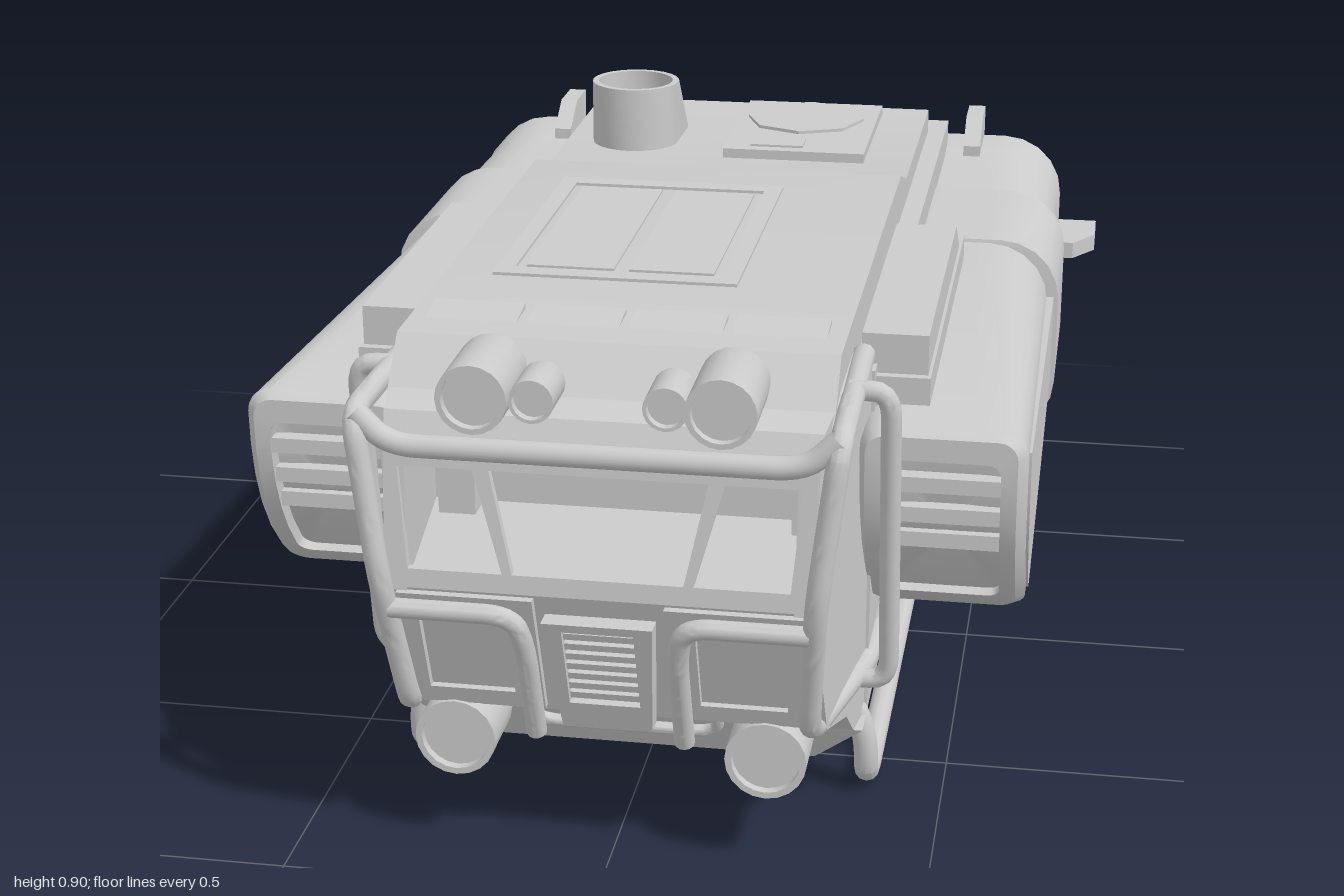
import * as THREE from 'three';
import { toCreasedNormals } from 'three/addons/utils/BufferGeometryUtils.js';

const material = new THREE.MeshStandardMaterial({ color: 0xcccccc, side: THREE.DoubleSide });
const V = (p) => new THREE.Vector3(...p);

// Move every vertex by a rule
function warp(geo, rule) {
  const pos = geo.attributes.position, v = new THREE.Vector3();
  for (let i = 0; i < pos.count; i++) {
    rule(v.fromBufferAttribute(pos, i));
    pos.setXYZ(i, v.x, v.y, v.z);
  }
  return geo;
}

// Mirror a non-indexed geometry in x, keeping its faces outward
function mirrorX(geo) {
  const out = geo.clone();
  for (const key of ['position', 'normal']) {
    const a = out.attributes[key], s = geo.attributes[key];
    for (let i = 0; i < a.count; i += 3) for (const [to, from] of [[0, 0], [1, 2], [2, 1]]) {
      a.setXYZ(i + to, -s.getX(i + from), s.getY(i + from), s.getZ(i + from));
    }
  }
  return out;
}

const box = (x0, x1, y0, y1, z0, z1) =>
  new THREE.BoxGeometry(x1 - x0, y1 - y0, z1 - z0).translate((x0 + x1) / 2, (y0 + y1) / 2, (z0 + z1) / 2);

const shapeOf = (pts, holes = []) => {
  const s = new THREE.Shape(pts.map((p) => new THREE.Vector2(...p)));
  s.holes = holes.map((h) => new THREE.Path(h.map((p) => new THREE.Vector2(...p))));
  return s;
};
const rect = (x0, x1, y0, y1) => [[x0, y0], [x1, y0], [x1, y1], [x0, y1]];
const plate = (shape, depth) => new THREE.ExtrudeGeometry(shape, { depth, bevelEnabled: false });

// Side profile of [z, y] points drawn out from x0 to x1
const profile = (pts, x0, x1) => plate(shapeOf(pts), x1 - x0).rotateY(-Math.PI / 2).translate(x1, 0, 0);

// Flat outline of [x, z] points drawn up from y0 to y1
const slab = (pts, y0, y1, holes = []) =>
  plate(shapeOf(pts, holes), y1 - y0).rotateX(Math.PI / 2).translate(0, y1, 0);

// Pipe through points with rounded corners
function pipe(points, r, bend = 0.045) {
  const pts = points.map(V), path = new THREE.CurvePath();
  let from = pts[0];
  for (let i = 1; i < pts.length - 1; i++) {
    const toward = (q) => pts[i].clone().add(q.clone().sub(pts[i]).setLength(Math.min(bend, q.distanceTo(pts[i]) * 0.45)));
    const a = toward(pts[i - 1]), b = toward(pts[i + 1]);
    path.add(new THREE.LineCurve3(from, a));
    path.add(new THREE.QuadraticBezierCurve3(a, pts[i], b));
    from = b;
  }
  path.add(new THREE.LineCurve3(from, pts[pts.length - 1]));
  return new THREE.TubeGeometry(path, points.length * 14, r, 12);
}

// Lamp housing turned to face +z
const lamp = (r, len, x, y, z) => new THREE.LatheGeometry(
  [[0, 0], [r * 0.75, 0], [r, len * 0.2], [r, len], [r * 0.84, len], [r * 0.84, len - 0.015], [0, len - 0.015]]
    .map((p) => new THREE.Vector2(...p)), 20).rotateX(Math.PI / 2).translate(x, y, z);

// Pod front edge sweeps back toward the bottom
const podSweep = (y) => -0.19 * Math.pow(Math.max(0, 0.65 - y) / 0.35, 2.5);

// Rounded-rectangle section rings [x0, x1, y0, y1, radius, z, sweep] joined into a skin
function loft(sections) {
  const pos = [], index = [], steps = 5, n = 4 * (2 * steps);
  for (const [x0, x1, y0, y1, r, z, sweep] of sections) {
    const corners = [[x1 - r, y1 - r], [x0 + r, y1 - r], [x0 + r, y0 + r], [x1 - r, y0 + r]];
    const put = (cx, cy, a) => {
      const y = cy + r * Math.sin(a);
      pos.push(cx + r * Math.cos(a), y, z + (sweep ? podSweep(y) : 0));
    };
    corners.forEach(([cx, cy], c) => {
      const [nx, ny] = corners[(c + 1) % 4], turn = Math.PI / 2;
      for (let i = 0; i < steps; i++) put(cx, cy, (c + i / steps) * turn);
      for (let i = 0; i < steps; i++) put(cx + (nx - cx) * i / steps, cy + (ny - cy) * i / steps, (c + 1) * turn);
    });
  }
  for (let k = 0; k < sections.length - 1; k++) for (let j = 0; j < n; j++) {
    const p = k * n + j, pn = k * n + (j + 1) % n;
    index.push(p, p + n, pn, pn, p + n, pn + n);
  }
  const geo = new THREE.BufferGeometry();
  geo.setAttribute('position', new THREE.Float32BufferAttribute(pos, 3));
  geo.setIndex(index);
  return geo;
}

// Cab nose: slope of the face, and narrowing toward the front
const faceZ = (y) => (y > 0.48 ? 0.955 - (y - 0.48) * 0.1 : 0.865 + (y - 0.24) * 0.375);
const onFace = (geo) => warp(geo, (v) => { v.z += faceZ(v.y); });
const narrow = (geo) => warp(geo, (v) => { v.x *= 1 - 0.12 * (v.z - 0.62) / 0.33; });

export function createModel() {
  const model = new THREE.Group();
  const add = (name, geo, mirrored = false) => {
    const g = toCreasedNormals(geo, 0.55);
    const sides = mirrored ? [[name + 'Left', g], [name + 'Right', mirrorX(g)]] : [[name, g]];
    for (const [label, part] of sides) {
      const mesh = new THREE.Mesh(part, material);
      mesh.name = label;
      model.add(mesh);
    }
  };

  // Hull, keel and roof
  add('body', profile([[0.62, 0.15], [0.62, 0.74], [-0.9, 0.74], [-0.9, 0.2], [-0.83, 0.2], [-0.83, 0.15]], -0.375, 0.375));
  add('keel', warp(box(-0.375, 0.375, 0.07, 0.15, -0.83, 0.69), (v) => {
    if (v.y < 0.1) { v.x *= 0.78; v.z += v.z > 0 ? -0.05 : 0.02; }
  }));
  add('bottomPlate', box(-0.25, 0.25, 0.06, 0.07, -0.78, 0.61));
  add('roof', profile([[0.87, 0.74], [0.79, 0.825], [-0.18, 0.825], [-0.3, 0.785], [-0.81, 0.785], [-0.81, 0.73]], -0.34, 0.34));
  add('roofShoulder', box(0.36, 0.46, 0.66, 0.725, -0.16, 0.6), true);
  add('roofLocker', profile([[0.585, 0.7], [0.585, 0.79], [0, 0.79], [-0.13, 0.7]], 0.35, 0.455), true);
  for (let i = 0; i < 4; i++) {
    const x = -0.315 + i * 0.16;
    add('roofFrontRidge' + i, profile([[0.655, 0.82], [0.655, 0.834], [0.73, 0.824]], x, x + 0.145));
  }

  // Roof hatch with two doors
  add('hatchFrame', slab(rect(-0.26, 0.14, -0.06, 0.5), 0.82, 0.83, [rect(-0.23, 0.11, -0.025, 0.465)]));
  for (const [x0, x1] of [[-0.215, -0.07], [-0.045, 0.095]]) add('hatchDoor', box(x0, x1, 0.82, 0.829, -0.01, 0.45));

  // Rear roof equipment
  add('ventBase', box(-0.02, 0.25, 0.78, 0.803, -0.76, -0.39));
  add('ventCover', new THREE.CylinderGeometry(0.115, 0.115, 0.008, 8).translate(0.11, 0.805, -0.63));
  add('ventBox', box(0.03, 0.13, 0.8, 0.807, -0.47, -0.415));
  const stack = new THREE.LatheGeometry([[0.084, 0], [0.084, 0.13], [0.072, 0.13], [0.072, 0.08], [0, 0.08]]
    .map((p) => new THREE.Vector2(...p)), 24);
  add('exhaustStack', warp(stack, (v) => { if (v.y < 0.01 && v.z < 0.01) v.z -= 0.115; }).translate(-0.207, 0.775, -0.49));

  // Cab shell, open at the windshield
  add('cabNose', narrow(profile([[0.62, 0.14], [0.68, 0.14], [0.74, 0.2], [0.865, 0.24], [0.955, 0.48], [0.62, 0.48]], -0.37, 0.37)));
  add('cabRoof', narrow(profile([[0.62, 0.7], [0.933, 0.7], [0.91, 0.745], [0.8, 0.77], [0.62, 0.77]], -0.37, 0.37)));
  add('cabSide', narrow(profile([[0.62, 0.47], [0.955, 0.47], [0.933, 0.71], [0.62, 0.71]], 0.335, 0.37)), true);
  add('cabConsole', box(0.255, 0.315, 0.48, 0.67, 0.62, 0.68), true);
  const sidePane = [[0.145, 0.51], [0.29, 0.51], [0.305, 0.67], [0.19, 0.67]];
  add('windshieldFrame', onFace(plate(shapeOf(rect(-0.326, 0.326, 0.48, 0.71), [
    [[-0.13, 0.51], [0.13, 0.51], [0.165, 0.67], [-0.165, 0.67]], sidePane, sidePane.map(([x, y]) => [-x, y]),
  ]), 0.014).translate(0, 0, -0.004)));
  add('nosePanel', onFace(plate(shapeOf(rect(0.1, 0.31, 0.25, 0.47), [rect(0.145, 0.28, 0.28, 0.44)]), 0.014)), true);

  // Grille
  add('grilleFrame', onFace(plate(shapeOf([[-0.07, 0.23], [0.07, 0.23], [0.085, 0.44], [-0.085, 0.44]], [rect(-0.055, 0.055, 0.28, 0.425)]), 0.035)));
  for (let i = 0; i < 7; i++) add('grilleSlat' + i, onFace(box(-0.06, 0.06, 0.285 + i * 0.02, 0.297 + i * 0.02, 0, 0.025)));

  // Tubular guards around the cab
  add('frontGuard', pipe([[0.355, 0.76, 0.6], [0.362, 0.76, 0.975], [0.33, 0.5, 0.98], [0.312, 0.245, 0.895], [0.375, 0.245, 0.62], [0.385, 0.245, 0.3]], 0.018), true);
  add('sideGuard', pipe([[0.35, 0.762, 0.765], [0.414, 0.762, 0.765], [0.414, 0.24, 0.68], [0.35, 0.24, 0.68]], 0.016), true);
  add('upperGuard', pipe([[-0.36, 0.76, 0.965], [-0.31, 0.712, 0.968], [0.31, 0.712, 0.968], [0.36, 0.76, 0.965]], 0.018));
  add('lowerGuard', pipe([[0.32, 0.445, 0.965], [0.13, 0.445, 0.965], [0.117, 0.38, 0.94], [0.117, 0.205, 0.875]], 0.016), true);
  add('bumperBar', pipe([[-0.15, 0.21, 0.77], [-0.15, 0.155, 0.74], [0.15, 0.155, 0.74], [0.15, 0.21, 0.77]], 0.01));

  // Lamps
  add('headlight', lamp(0.064, 0.15, 0.245, 0.19, 0.74), true);
  add('roofLamp', lamp(0.054, 0.18, 0.185, 0.786, 0.782), true);
  add('smallRoofLamp', lamp(0.034, 0.11, 0.1, 0.78, 0.83), true);
  add('lampBracket', box(0.08, 0.2, 0.72, 0.765, 0.82, 0.89), true);

  // Side pods: swept intake, raised band, flanged tail duct
  add('pod', loft([
    [0.5, 0.5, 0.5, 0.5, 0, 0.68, 1], [0.4, 0.58, 0.355, 0.63, 0.02, 0.68, 1], [0.4, 0.58, 0.355, 0.63, 0.02, 0.71, 1],
    [0.37, 0.605, 0.322, 0.668, 0.03, 0.71, 1], [0.36, 0.62, 0.31, 0.68, 0.04, 0.69, 1],
    [0.25, 0.612, 0.31, 0.68, 0.11, -0.26], [0.25, 0.632, 0.304, 0.686, 0.11, -0.262],
    [0.25, 0.632, 0.304, 0.686, 0.11, -0.588], [0.24, 0.615, 0.31, 0.68, 0.11, -0.59],
    [0.235, 0.606, 0.306, 0.684, 0.11, -0.84], [0.23, 0.61, 0.3, 0.69, 0.12, -0.87],
    [0.23, 0.61, 0.3, 0.69, 0.12, -0.985], [0.24, 0.6, 0.31, 0.68, 0.11, -1],
    [0.256, 0.584, 0.326, 0.664, 0.1, -1], [0.256, 0.584, 0.326, 0.664, 0.1, -0.906], [0.42, 0.42, 0.495, 0.495, 0, -0.906],
  ]), true);
  add('podSidePanel', profile([[0.66, 0.635], [0.66, 0.56], [0.63, 0.46], [0.58, 0.39], [0.53, 0.35], [-0.265, 0.42], [-0.265, 0.58]], 0.6, 0.624), true);
  for (const y of [0.47, 0.52, 0.575]) {
    const z = 0.71 + podSweep(y);
    add('intakeSlat', box(0.395, 0.585, y, y + 0.025, z - 0.045, z - 0.004), true);
  }

  // Tail fans
  add('fanHub', new THREE.CylinderGeometry(0.03, 0.02, 0.08, 16).rotateX(Math.PI / 2).translate(0.42, 0.495, -0.945), true);
  for (let i = 0; i < 14; i++) {
    add('fanBlade' + i, new THREE.BoxGeometry(0.145, 0.05, 0.005).rotateX(0.7).translate(0.092, 0, -0.95)
      .rotateZ(i * Math.PI / 7).translate(0.42, 0.495, 0), true);
  }

  // Tail fins
  add('sideFin', slab([[0.59, -0.835], [0.645, -0.835], [0.688, -0.9], [0.688, -1], [0.59, -1]], 0.475, 0.508), true);
  add('upperFin', profile([[-0.835, 0.67], [-0.835, 0.705], [-0.905, 0.75], [-0.995, 0.75], [-0.995, 0.67]], 0.412, 0.446), true);
  add('lowerFin', profile([[-0.835, 0.32], [-0.835, 0.285], [-0.905, 0.242], [-0.995, 0.242], [-0.995, 0.32]], 0.412, 0.446), true);

  // Boxes under the pods
  add('underPodBox', profile([[-0.05, 0.33], [-0.14, 0.207], [-0.78, 0.207], [-0.78, 0.33]], 0.36, 0.53), true);

  // Rear door with eight sunken panels
  const panels = [];
  for (let c = 0; c < 2; c++) for (let r = 0; r < 4; r++) {
    const x = -0.165 + c * 0.175, y = 0.265 + r * 0.108;
    panels.push(rect(x, x + 0.155, y, y + 0.088));
  }
  add('rearDoorFrame', plate(shapeOf(rect(-0.225, 0.225, 0.215, 0.725), [rect(-0.19, 0.19, 0.24, 0.705)]), 0.05).translate(0, 0, -0.945));
  add('rearDoor', plate(shapeOf(rect(-0.185, 0.185, 0.245, 0.7), panels), 0.035).translate(0, 0, -0.933));
  add('rearSill', box(-0.225, 0.225, 0.19, 0.24, -0.948, -0.89));

  // Landing skids
  add('skid', pipe([[0.27, 0.165, 0.62], [0.35, 0.175, 0.62], [0.375, 0.1, 0.62], [0.375, 0.02, 0.61], [0.375, 0.02, -0.74],
    [0.375, 0.1, -0.75], [0.35, 0.15, -0.75], [0.28, 0.15, -0.75]], 0.02, 0.07), true);
  for (const z of [0.155, -0.33]) add('skidStrut', pipe([[0.375, 0.02, z], [0.37, 0.11, z], [0.345, 0.145, z], [0.28, 0.145, z]], 0.014), true);

  return model;
}
